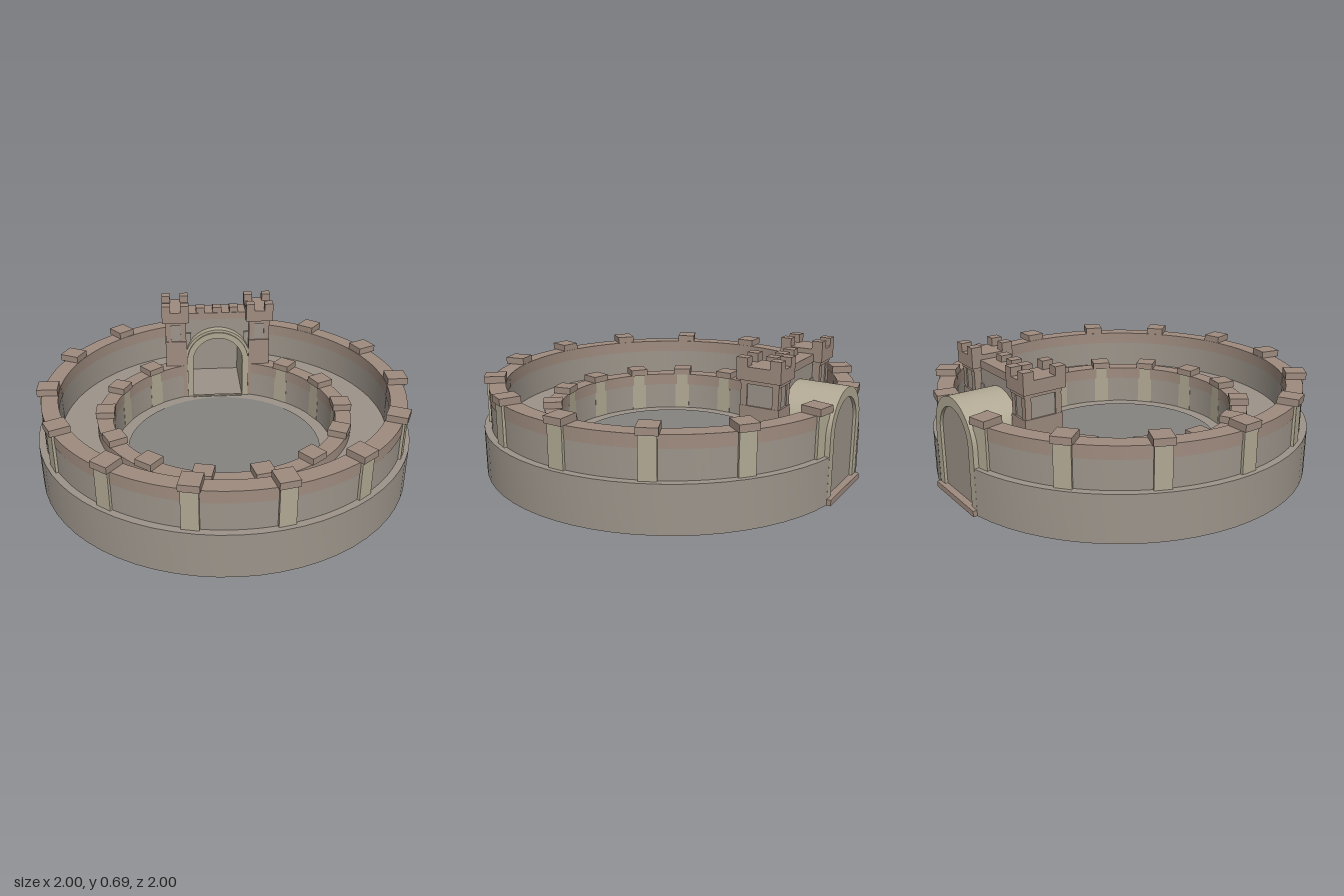
import * as THREE from 'three';
import { toCreasedNormals } from 'three/addons/utils/BufferGeometryUtils.js';

const mat = (color) => new THREE.MeshStandardMaterial({ color });
const stone = mat(0x9c948a);
const trim = mat(0x9e8b7e);
const pale = mat(0xb0a893);
const ground = mat(0x858380);
const earth = mat(0x6e5f56);

function add(parent, name, geometry, material) {
  const mesh = new THREE.Mesh(geometry, material);
  mesh.name = name;
  parent.add(mesh);
  return mesh;
}

// Box given by its limits on each axis
function block(parent, name, material, x0, x1, y0, y1, z0, z1) {
  const mesh = add(parent, name, new THREE.BoxGeometry(x1 - x0, y1 - y0, z1 - z0), material);
  mesh.position.set((x0 + x1) / 2, (y0 + y1) / 2, (z0 + z1) / 2);
}

// Upright disc given by its radius and height limits
function disc(parent, name, material, radius, y0, y1, segments) {
  const mesh = add(parent, name, new THREE.CylinderGeometry(radius, radius, y1 - y0, segments), material);
  mesh.position.y = (y0 + y1) / 2;
}

// Circular wall, open at the back by a gap of the given half width
function ringWall(parent, name, material, inner, outer, y0, y1, gap, segments) {
  const a = Math.asin(gap / outer), b = Math.asin(gap / inner), back = Math.PI / 2;
  const shape = new THREE.Shape();
  shape.absarc(0, 0, outer, back + a, back + Math.PI * 2 - a, false);
  shape.absarc(0, 0, inner, back + Math.PI * 2 - b, back + b, true);
  shape.closePath();
  const geo = new THREE.ExtrudeGeometry(shape, { depth: y1 - y0, bevelEnabled: false, curveSegments: segments });
  geo.rotateX(-Math.PI / 2);
  geo.translate(0, y0, 0);
  add(parent, name, toCreasedNormals(geo, 0.5), material);
}

// Round-headed outline
function archPath(path, r, bottom, spring) {
  path.moveTo(-r, bottom);
  path.lineTo(r, bottom);
  path.lineTo(r, spring);
  path.absarc(0, spring, r, 0, Math.PI, false);
  path.closePath();
  return path;
}

// Extrude an upright outline between two depths
function upright(parent, name, material, shape, z0, z1) {
  const geo = new THREE.ExtrudeGeometry(shape, { depth: z1 - z0, bevelEnabled: false, curveSegments: 20 });
  geo.translate(0, 0, z0);
  add(parent, name, toCreasedNormals(geo, 0.5), material);
}

function arch(parent, name, material, r, hole, bottom, spring, z0, z1) {
  const shape = archPath(new THREE.Shape(), r, bottom, spring);
  if (hole) shape.holes.push(archPath(new THREE.Path(), hole, bottom + 0.004, spring));
  upright(parent, name, material, shape, z0, z1);
}

// Wall with a coping band and evenly spaced piers
function curtainWall(name, inner, outer, y0, pierIn, pierOut, skipBack) {
  const wall = new THREE.Group();
  wall.name = name;
  const top = y0 + 0.21;
  ringWall(wall, 'wallStone', stone, inner, outer, y0 - 0.01, top - 0.065, 0.19, 64);
  ringWall(wall, 'wallCoping', trim, inner - 0.002, outer + 0.002, top - 0.065, top, 0.19, 64);
  for (let i = 0; i < 14; i++) {
    const angle = (i / 14) * Math.PI * 2;
    // The gatehouse stands in place of the rear piers
    if (skipBack && Math.sin(angle) < -0.95) continue;
    const pier = new THREE.Group();
    pier.name = 'pier';
    block(pier, 'pierShaft', pale, pierIn + 0.01, pierOut - 0.012, y0 - 0.01, top + 0.005, -0.042, 0.042);
    block(pier, 'pierCap', trim, pierIn, pierOut, top, top + 0.036, -0.05, 0.05);
    pier.rotation.y = -angle;
    wall.add(pier);
  }
  return wall;
}

function tower(side) {
  const group = new THREE.Group();
  group.name = side > 0 ? 'leftTower' : 'rightTower';
  block(group, 'towerBody', stone, -0.055, 0.055, 0.09, 0.57, -0.09, 0.09);
  block(group, 'towerPlinth', trim, -0.063, 0.063, 0.09, 0.46, -0.1, 0.1);
  block(group, 'towerCollar', trim, -0.063, 0.063, 0.565, 0.59, -0.1, 0.1);
  block(group, 'towerDeck', trim, -0.08, 0.08, 0.585, 0.65, -0.112, 0.112);
  // Pilasters and merlons at the four corners
  for (const sx of [-1, 1]) {
    for (const sz of [-1, 1]) {
      const px = sx * 0.045, pz = sz * 0.08, mx = sx * 0.055, mz = sz * 0.084;
      block(group, 'pilaster', trim, px - 0.016, px + 0.016, 0.46, 0.57, pz - 0.016, pz + 0.016);
      block(group, 'towerMerlon', trim, mx - 0.025, mx + 0.025, 0.65, 0.692, mz - 0.028, mz + 0.028);
    }
  }
  group.position.set(side * 0.25, 0, -0.667);
  return group;
}

export function createModel() {
  const model = new THREE.Group();
  model.name = 'ringFortress';

  // Base, terrace and central court
  disc(model, 'underside', earth, 0.975, 0, 0.008, 32);
  ringWall(model, 'terraceBase', stone, 0.61, 1, 0, 0.24, 0.195, 30);
  disc(model, 'courtFloor', stone, 0.625, 0.005, 0.085, 48);
  disc(model, 'courtDisc', ground, 0.535, 0.01, 0.09, 48);

  // Concentric walls
  model.add(curtainWall('outerWall', 0.88, 0.963, 0.24, 0.88, 0.988, false));
  model.add(curtainWall('innerWall', 0.605, 0.685, 0.09, 0.592, 0.692, true));

  // Vaulted gate passage
  const gate = new THREE.Group();
  gate.name = 'gatePassage';
  arch(gate, 'vault', pale, 0.2, 0.15, 0.01, 0.33, -0.98, -0.57);
  arch(gate, 'innerArchRing', pale, 0.185, 0.15, 0.09, 0.33, -0.575, -0.56);
  arch(gate, 'gateDoor', stone, 0.152, 0, 0.02, 0.33, -0.965, -0.945);
  block(gate, 'passageFloor', stone, -0.152, 0.152, 0.01, 0.088, -0.95, -0.56);
  block(gate, 'threshold', trim, -0.2, 0.2, 0, 0.03, -1, -0.94);
  model.add(gate);

  // Gatehouse above the passage
  const gatehouse = new THREE.Group();
  gatehouse.name = 'gatehouse';
  for (const side of [-1, 1]) {
    gatehouse.add(tower(side));
    const x = side * 0.19;
    block(gatehouse, 'gateJamb', stone, x - 0.03, x + 0.03, 0.09, 0.5, -0.73, -0.6);
  }
  const wall = new THREE.Shape();
  wall.moveTo(-0.19, 0.33);
  wall.lineTo(-0.19, 0.59);
  wall.lineTo(0.19, 0.59);
  wall.lineTo(0.19, 0.33);
  wall.absarc(0, 0.33, 0.19, 0, Math.PI, false);
  upright(gatehouse, 'gatehouseWall', stone, wall, -0.725, -0.615);
  block(gatehouse, 'walkway', trim, -0.18, 0.18, 0.585, 0.625, -0.735, -0.608);
  for (const x of [-0.1, 0, 0.1]) {
    block(gatehouse, 'walkwayMerlon', trim, x - 0.026, x + 0.026, 0.625, 0.657, -0.668, -0.61);
  }
  model.add(gatehouse);
  return model;
}
